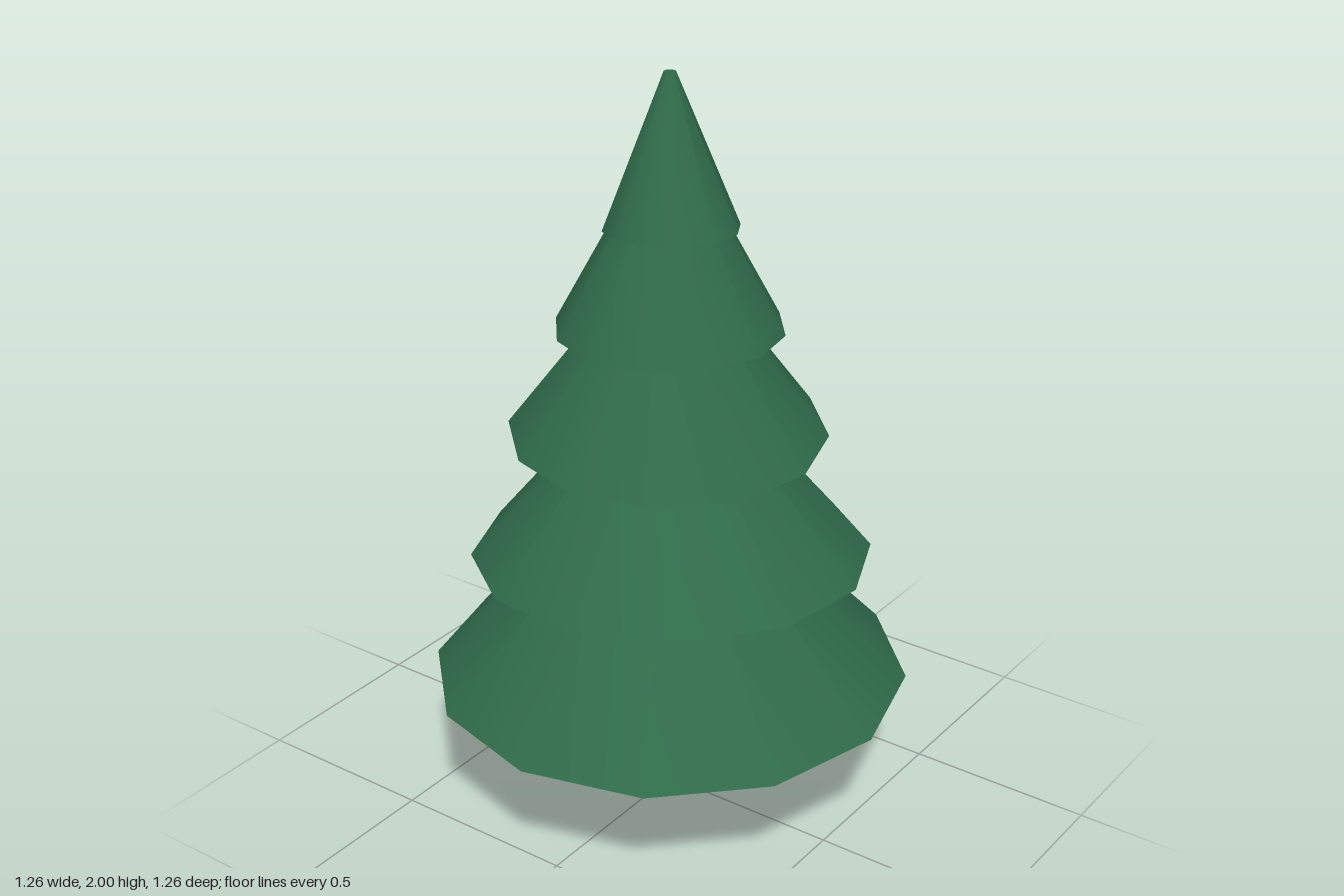
import * as THREE from 'three';

const green = new THREE.MeshStandardMaterial({ color: 0x2f6b4a });
const brown = new THREE.MeshStandardMaterial({ color: 0x6b4a35 });

// Foliage tiers: base height, apex height, base radius, spin, lean about the apex
const tiers = [
  { name: 'lowestTier', base: 0.365, top: 1.02, radius: 0.63, spin: 0, lean: 0 },
  { name: 'lowerTier', base: 0.728, top: 1.31, radius: 0.52, spin: 0.145, lean: 0.034 },
  { name: 'middleTier', base: 1.05, top: 1.59, radius: 0.412, spin: 0.02, lean: -0.036 },
  { name: 'upperTier', base: 1.345, top: 1.86, radius: 0.292, spin: -0.1, lean: 0 },
  { name: 'topTier', base: 1.615, top: 2, radius: 0.171, spin: 0.26, lean: 0.045 },
];

function makeTier({ name, base, top, radius, spin, lean }) {
  const height = top - base;
  const geometry = new THREE.CylinderGeometry(0.015, radius, height, 12);
  geometry.translate(0, -height / 2, 0); // pivot at the apex
  const tier = new THREE.Mesh(geometry, green);
  tier.name = name;
  tier.position.y = top;
  tier.rotation.set(-lean, spin, lean, 'XZY');
  return tier;
}

export function createModel() {
  const tree = new THREE.Group();
  tree.name = 'pineTree';

  // Tapered trunk, its top hidden in the foliage
  const trunk = new THREE.Mesh(new THREE.CylinderGeometry(0.067, 0.084, 0.45, 8), brown);
  trunk.name = 'trunk';
  trunk.position.y = 0.225;
  tree.add(trunk);

  for (const tier of tiers) tree.add(makeTier(tier));
  return tree;
}
